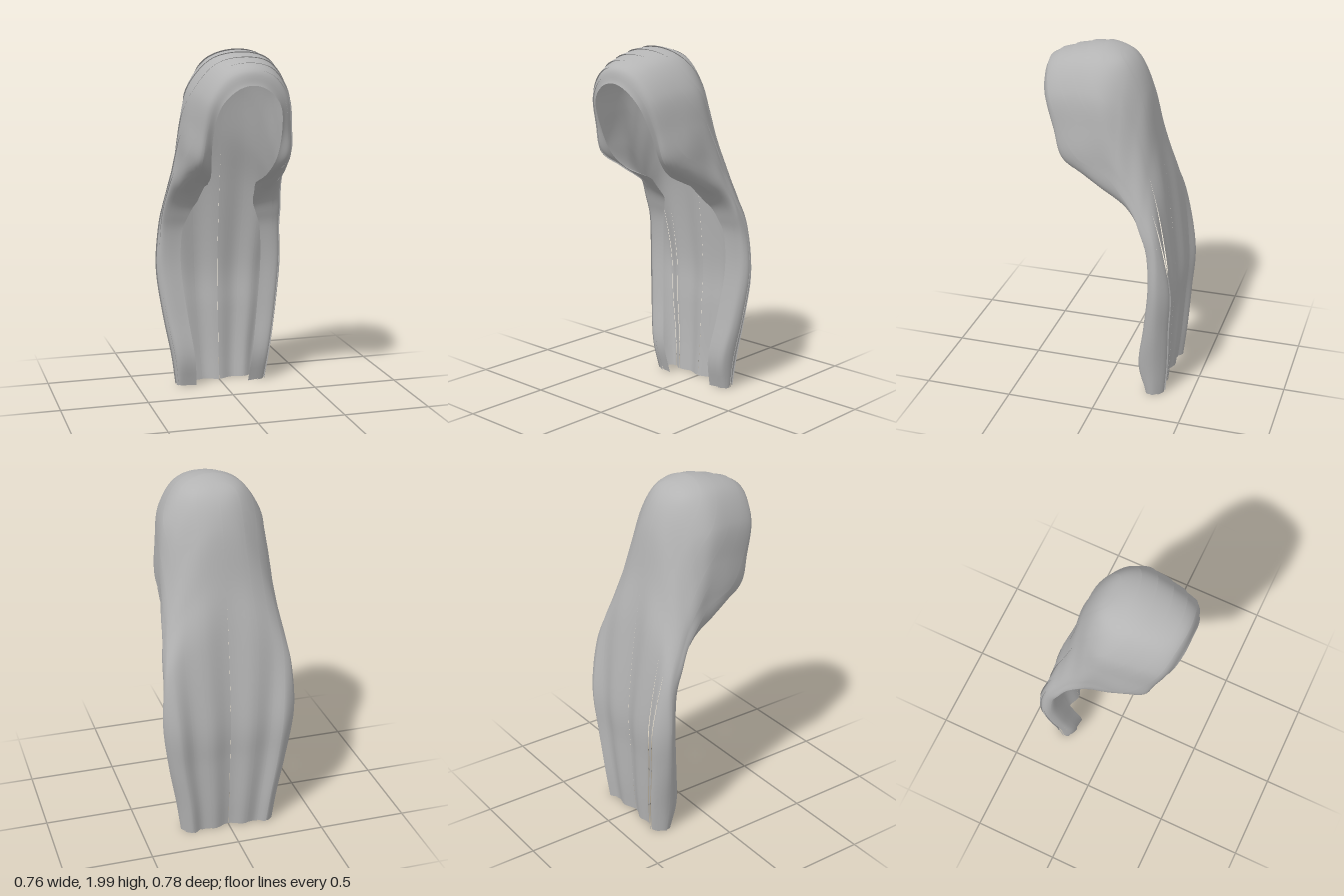
import * as THREE from 'three';

// Half sections from the centre line to the free edge, listed from face rim to hood crown
const hood = [
  [[0, 1.83, .385], [.09, 1.8, .38], [.165, 1.71, .35], [.19, 1.56, .285], [.185, 1.42, .22], [.16, 1.32, .12], [.14, 1.25, -.03]],
  [[0, 1.92, .355], [.13, 1.88, .34], [.22, 1.75, .315], [.245, 1.58, .275], [.25, 1.42, .235], [.22, 1.33, .12], [.15, 1.23, -.07]],
  [[0, 1.98, .2], [.155, 1.94, .18], [.255, 1.79, .16], [.285, 1.6, .14], [.295, 1.43, .12], [.27, 1.29, .03], [.155, 1.2, -.1]],
  [[0, 2, .04], [.165, 1.95, .03], [.27, 1.79, .02], [.3, 1.6, 0], [.305, 1.42, -.02], [.29, 1.25, -.06], [.16, 1.17, -.13]],
];
// Back of the head and shoulders
const shoulders = [
  [[0, 1.94, -.1], [.13, 1.91, -.09], [.235, 1.75, -.085], [.29, 1.54, -.085], [.315, 1.36, -.1], [.31, 1.21, -.13], [.165, 1.13, -.17]],
  [[0, 1.78, -.185], [.11, 1.74, -.18], [.21, 1.6, -.165], [.28, 1.42, -.16], [.32, 1.27, -.17], [.325, 1.14, -.19], [.18, 1.09, -.21]],
  [[0, 1.5, -.24], [.12, 1.47, -.24], [.22, 1.38, -.235], [.3, 1.25, -.235], [.34, 1.14, -.235], [.34, 1.05, -.23], [.205, 1.03, -.235]],
  [[0, 1.2, -.295], [.13, 1.18, -.315], [.24, 1.12, -.31], [.32, 1.04, -.32], [.36, .98, -.305], [.345, .93, -.265], [.235, .93, -.26]],
];
// Hanging cape: height, half width, back z, front z, inner edge x
const cape = [
  [.72, .373, -.348, -.265, .24],
  [.45, .34, -.338, -.235, .21],
  [.2, .295, -.325, -.2, .175],
  [.015, .27, -.308, -.235, .158],
].map(([y, w, back, front, inner]) => [
  [0, y, back], [w * .3, y, back - .026], [w * .58, y, back - .012], [w * .82, y, back - .036],
  [w, y, back * .75 + front * .25], [w * .93, y, front - .01], [inner, y, front],
]);

// Smooth curves across the sections, mirrored about the centre line
const rows = [...hood, ...shoulders, ...cape].map((half) => {
  const left = half.map((p) => new THREE.Vector3(...p));
  const right = left.slice(1).reverse().map((p) => new THREE.Vector3(-p.x, p.y, p.z));
  return new THREE.CatmullRomCurve3([...right, ...left], false, 'catmullrom', .5);
});

// Point on the cloth: u runs -1..1 across, v runs 0..1 from face rim to hem
function clothPoint(u, v) {
  const points = rows.map((r) => r.getPoint((u + 1) / 2));
  return new THREE.CatmullRomCurve3(points, false, 'catmullrom', .5).getPoint(v);
}

// Line of a lock: s = 0 follows rim and free edge, s = 1 the back centre; t runs hem to hem over the parting
function lockPoint(s, t) {
  const a = Math.abs(t), round = Math.min(1, s * 4);
  const turn = THREE.MathUtils.lerp(Math.min(1, a / .4), 1 - (1 - a) ** 3, round);
  const fall = THREE.MathUtils.lerp(Math.max(0, (a - .4) / .6), a ** 2.2, round);
  const start = .4 * s;
  return clothPoint(Math.sign(t) * (1 - s) * turn, start + (1 - start) * fall);
}

// U-shaped lock between two lines, its rim side raised to lap the next
function lock(s0, s1) {
  const across = 7, along = 180, positions = [], index = [];
  for (let i = 0; i <= across; i++) {
    for (let j = 0; j <= along; j++) {
      positions.push(...lockPoint(THREE.MathUtils.lerp(s0, s1, i / across), 2 * j / along - 1).toArray());
      if (i < across && j < along) {
        const a = i * (along + 1) + j, b = a + along + 1;
        index.push(a, a + 1, b, a + 1, b + 1, b);
      }
    }
  }
  const g = new THREE.BufferGeometry();
  g.setAttribute('position', new THREE.Float32BufferAttribute(positions, 3));
  g.setIndex(index);
  g.computeVertexNormals();
  const p = g.attributes.position, n = g.attributes.normal;
  for (let k = 0; k < p.count; k++) {
    const h = .004 * (1 - 2 * Math.floor(k / (along + 1)) / across) * (s1 < 1 ? 1 : .5) - (s1 < 1 ? 0 : .002);
    p.setXYZ(k, p.getX(k) + n.getX(k) * h, p.getY(k) + n.getY(k) * h, p.getZ(k) + n.getZ(k) * h);
  }
  return g;
}

export function createModel() {
  const group = new THREE.Group();
  group.name = 'hoodedMantle';
  const cloth = new THREE.MeshStandardMaterial({ color: 0xb4b4b4, side: THREE.DoubleSide });
  cloth.name = 'grey cloth';

  // Nested locks from the face rim to the back centre
  const bounds = [0, .1, .2, .3, .4, .52, .64, .78, 1];
  for (let i = 0; i < bounds.length - 1; i++) {
    const mesh = new THREE.Mesh(lock(bounds[i], Math.min(1, bounds[i + 1] + .015)), cloth);
    mesh.name = i === 0 ? 'rimLock' : i === bounds.length - 2 ? 'backLock' : 'sideLock';
    group.add(mesh);
  }
  return group;
}
